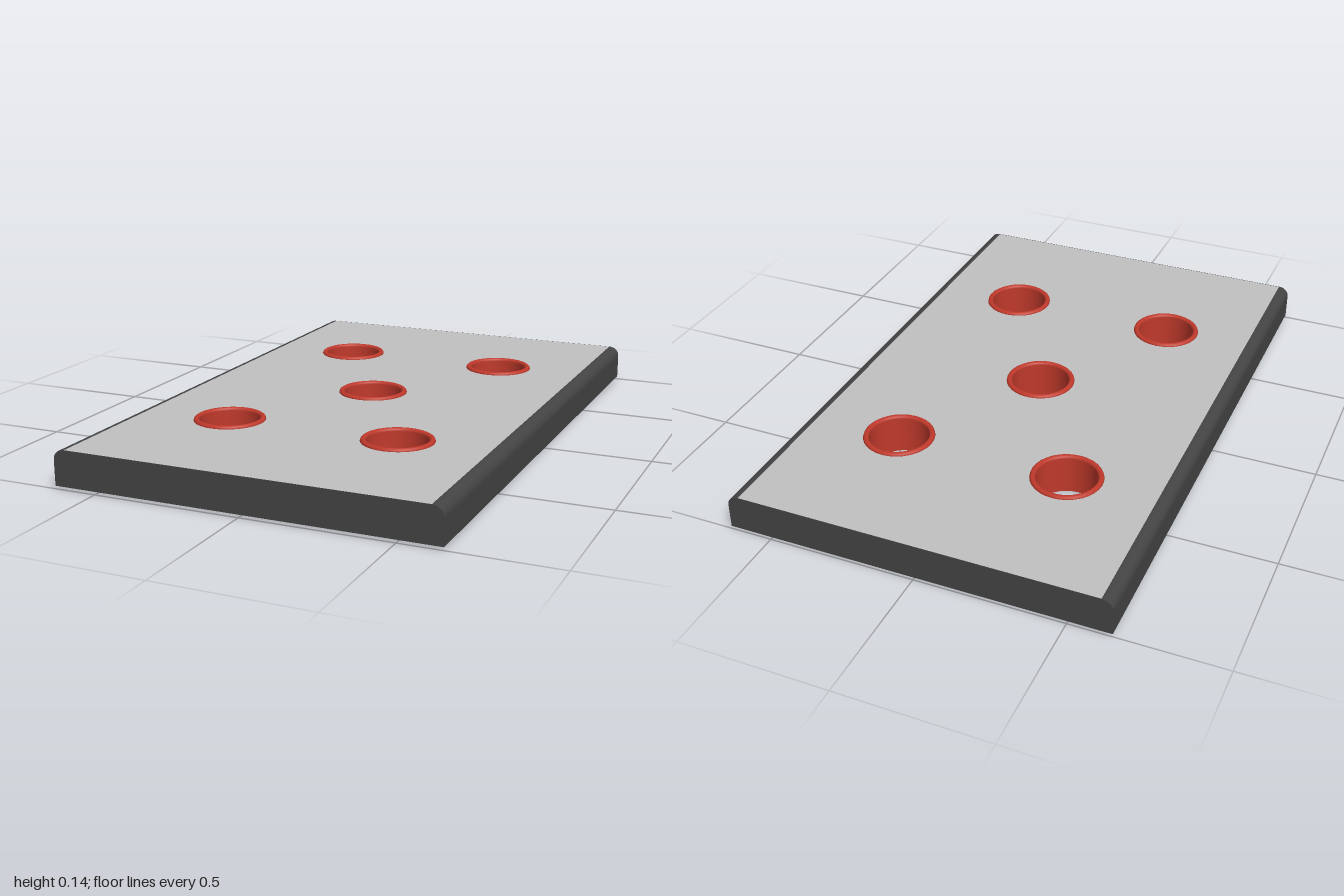
import * as THREE from 'three';

const HALF_X = 0.605, EDGE_X = 0.643, BOTTOM = 0.01, TOP = 0.13, ROUND = 0.035;
const HOLES = [[-0.3, -0.5], [0.3, -0.5], [0, 0], [-0.3, 0.5], [0.3, 0.5]];

export function createModel() {
  const material = (name, color, side = THREE.FrontSide) =>
    Object.assign(new THREE.MeshStandardMaterial({ color, side }), { name });
  const grey = material('plate grey', 0xc0c0c0);
  const dark = material('edge charcoal', 0x444444);
  const red = material('liner red', 0xc0392b, THREE.DoubleSide);

  const model = new THREE.Group();
  model.name = 'perforatedPlate';
  const add = (name, geometry, mat, x = 0, y = 0, z = 0) => {
    const mesh = new THREE.Mesh(geometry, mat);
    mesh.name = name;
    mesh.position.set(x, y, z);
    model.add(mesh);
    return mesh;
  };

  // Flat plate with five round holes
  const plan = new THREE.Shape([[-1, -1], [1, -1], [1, 1], [-1, 1]]
    .map(([x, z]) => new THREE.Vector2(x * HALF_X, z * 0.998)));
  for (const [x, z] of HOLES) {
    plan.holes.push(new THREE.Path().absarc(x, -z, 0.101, 0, Math.PI * 2, true));
  }
  const plate = new THREE.ExtrudeGeometry(plan, { depth: TOP - BOTTOM, bevelEnabled: false, curveSegments: 32 });
  plate.rotateX(-Math.PI / 2);
  add('plate', plate, grey, 0, BOTTOM, 0);

  // Rounded rails along both long sides
  const rail = new THREE.Shape();
  rail.moveTo(HALF_X, BOTTOM);
  rail.lineTo(EDGE_X, BOTTOM);
  rail.lineTo(EDGE_X, TOP - ROUND);
  rail.absarc(EDGE_X - ROUND, TOP - ROUND, ROUND, 0, Math.PI / 2, false);
  rail.lineTo(HALF_X, TOP);
  for (const [name, turn] of [['leftRail', 0], ['rightRail', Math.PI]]) {
    const geometry = new THREE.ExtrudeGeometry(rail, { depth: 2, bevelEnabled: false, curveSegments: 8 });
    geometry.translate(0, 0, -1).rotateY(turn);
    add(name, geometry, dark);
  }

  // Thin end strips
  for (const [name, z] of [['frontEdge', 0.999], ['backEdge', -0.999]]) {
    add(name, new THREE.BoxGeometry(HALF_X * 2, TOP - BOTTOM, 0.002), dark, 0, (TOP + BOTTOM) / 2, z);
  }

  // Red hole liners with a raised lip on top
  HOLES.forEach(([x, z], i) => {
    add(`holeLiner${i + 1}`, new THREE.CylinderGeometry(0.1, 0.1, TOP, 32, 1, true), red, x, TOP / 2, z);
    add(`holeLip${i + 1}`, new THREE.TorusGeometry(0.11, 0.01, 10, 32).rotateX(Math.PI / 2), red, x, TOP, z);
  });
  return model;
}
